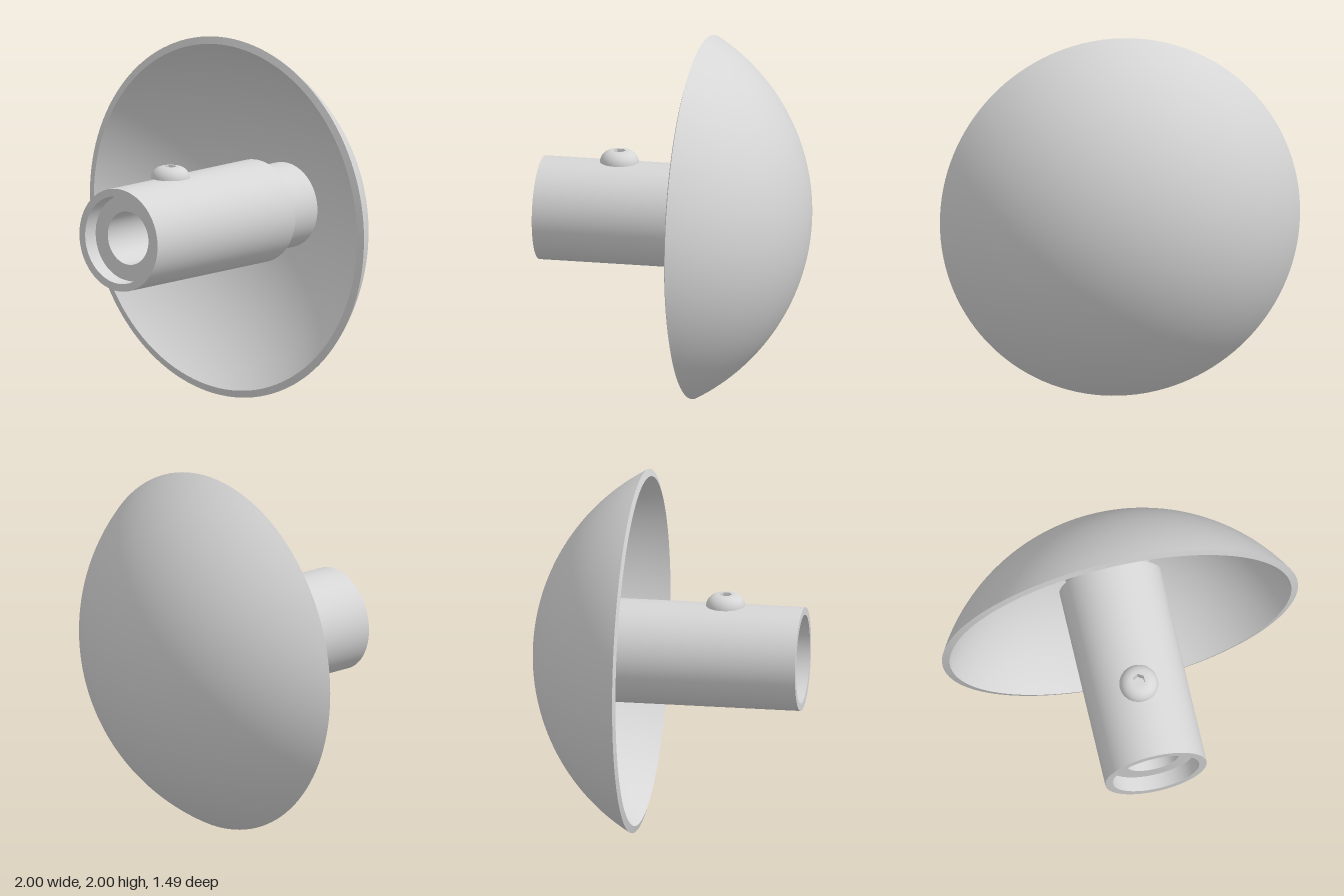
import * as THREE from 'three';

const metal = new THREE.MeshStandardMaterial({ color: 0xd6d6d6, side: THREE.DoubleSide });
metal.name = 'grey metal';

function add(parent, name, geometry) {
  const mesh = new THREE.Mesh(geometry, metal);
  mesh.name = name;
  parent.add(mesh);
  return mesh;
}

// Turned part: each smooth run of [radius, height] points is its own lathe, so corners stay sharp.
function turned(name, runs, segments = 96) {
  const group = new THREE.Group();
  group.name = name;
  for (const run of runs) {
    const points = run.map(([r, h]) => new THREE.Vector2(r, h));
    add(group, name + 'Surface', new THREE.LatheGeometry(points, segments));
  }
  return group;
}

// Splits a polyline into straight, sharp-edged runs.
const facets = (pts) => pts.slice(1).map((p, i) => [pts[i], p]);

// Arc of a spherical cap from its pole out to the given radius.
function capArc(radius, centre, rim, steps) {
  const angle = Math.asin(rim / radius);
  const pts = [];
  for (let i = 0; i <= steps; i++) {
    const a = (angle * i) / steps;
    pts.push([radius * Math.sin(a), centre - radius * Math.cos(a)]);
  }
  return pts;
}

// Dish whose wall is thickest at the middle
function createDish() {
  const back = capArc(1.147, 0.402, 1, 40);
  const front = capArc(1.147, 0.48, 0.96, 40).reverse();
  return turned('dish', [back, [back[back.length - 1], front[0]], front], 128);
}

function createScrew() {
  const screw = new THREE.Group();
  screw.name = 'screw';

  // Button head with a rounded crown running smoothly into the flat top
  const crown = [];
  for (let i = 0; i <= 12; i++) {
    const t = 0.06 + (i / 12) * (Math.PI / 2 - 0.06);
    crown.push([0.04 + 0.0671 * Math.cos(t), 1.284 + 0.0671 * Math.sin(t)]);
  }
  const [topR, topY] = crown[12];
  screw.add(turned('screwHead', [[[0, crown[0][1]], crown[0]], crown], 48));

  // Flat top pierced by a hexagonal socket
  const top = new THREE.Shape().absarc(0, 0, topR, 0, Math.PI * 2);
  const hex = [];
  for (let i = 0; i < 6; i++) {
    const a = (i * Math.PI) / 3 + Math.PI / 2;
    hex.push(new THREE.Vector2(0.035 * Math.cos(a), 0.035 * Math.sin(a)));
  }
  top.holes.push(new THREE.Path(hex));
  add(screw, 'screwTop', new THREE.ShapeGeometry(top, 24).rotateX(-Math.PI / 2).translate(0, topY, 0));
  const wall = new THREE.CylinderGeometry(0.035, 0.035, 0.05, 6, 1, true).toNonIndexed();
  wall.computeVertexNormals();
  add(screw, 'socketWall', wall.translate(0, topY - 0.025, 0));
  add(screw, 'socketFloor', new THREE.CircleGeometry(0.035, 6, Math.PI / 2)
    .rotateX(-Math.PI / 2).translate(0, topY - 0.05, 0));

  // Shank reaching into the bore
  add(screw, 'screwShank', new THREE.CylinderGeometry(0.055, 0.055, 0.22, 32).translate(0, 1.175, 0));
  screw.position.z = 0.31;
  return screw;
}

export function createModel() {
  const model = new THREE.Group();
  model.name = 'dishOnTube';

  // Parts turned about the z axis
  const turnedParts = new THREE.Group();
  turnedParts.name = 'turnedParts';
  turnedParts.rotation.x = Math.PI / 2;
  turnedParts.position.y = 1;
  model.add(turnedParts);

  turnedParts.add(createDish());

  // Neck, sleeve, recessed mouth with a fine groove, and a blind bore ending in a small centre hole
  turnedParts.add(turned('tube', facets([
    [0.236, -0.66], [0.236, -0.405], [0.285, -0.405], [0.285, 0.74],
    [0.243, 0.74], [0.243, 0.64], [0.237, 0.64], [0.237, 0.66], [0.148, 0.66], [0.148, -0.58],
    [0.07, -0.58], [0.06, -0.66], [0, -0.66],
  ])));

  model.add(createScrew());
  return model;
}
